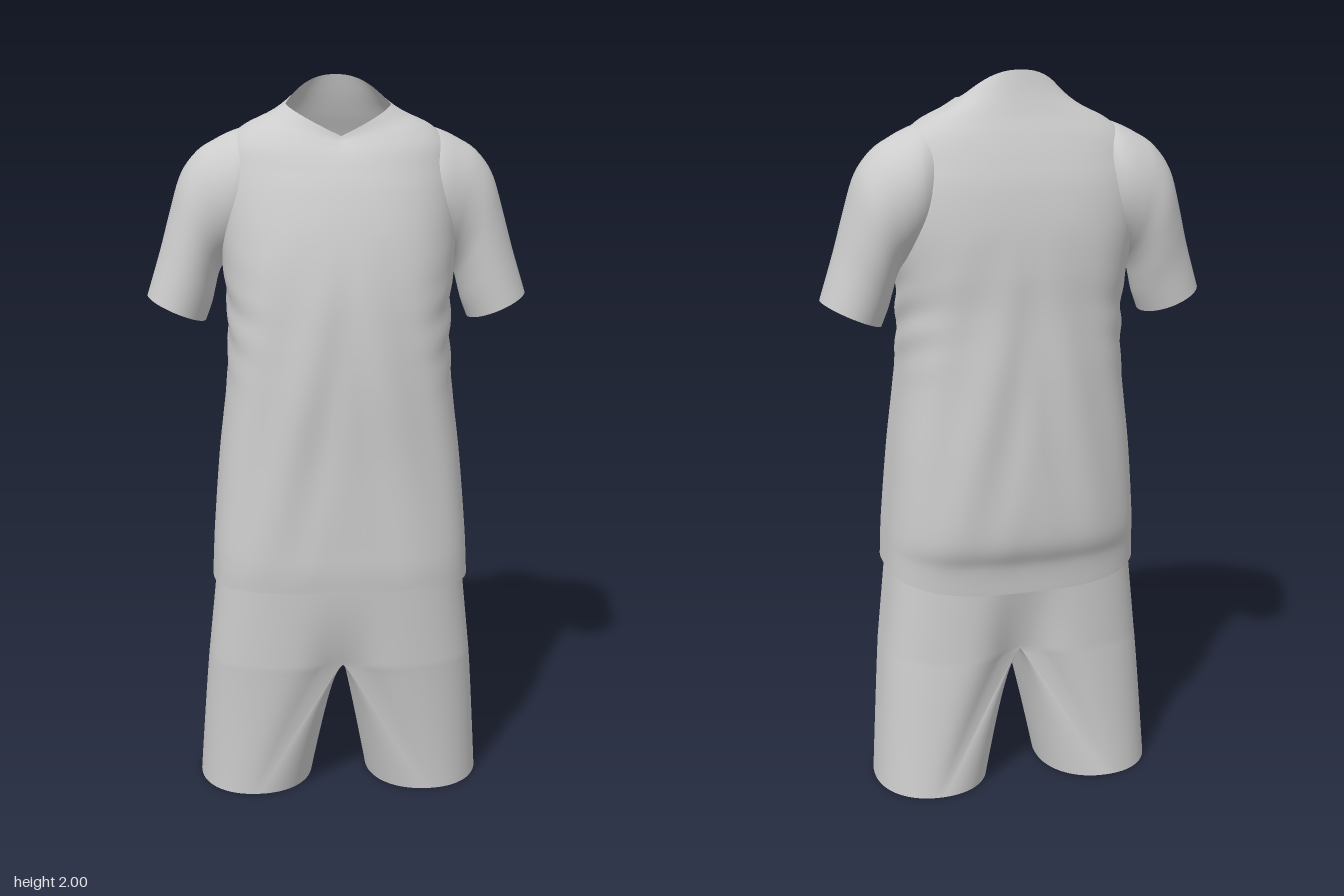
import * as THREE from 'three';
import { mergeGeometries, mergeVertices } from 'three/addons/utils/BufferGeometryUtils.js';

const SEG = 160;
const spow = (v, p) => Math.sign(v) * Math.abs(v) ** p;
const mix = (a, b, t) => a + (b - a) * t;

// Smooth interpolation through a table of section rows, t in 0..1
function sampleRows(rows, t) {
  const f = t * (rows.length - 1);
  const i = Math.min(Math.floor(f), rows.length - 2);
  const u = f - i;
  const row = (k) => rows[Math.max(0, Math.min(rows.length - 1, k))];
  return rows[0].map((_, c) => {
    const [a, b, d, e] = [row(i - 1)[c], row(i)[c], row(i + 1)[c], row(i + 2)[c]];
    return b + 0.5 * u * (d - a + u * (2 * a - 5 * b + 4 * d - e + u * (3 * (b - d) + e - a)));
  });
}

// Open tube of closed rings; point(angle, t) returns [x, y, z]
function loft(point, steps) {
  const pos = [], idx = [];
  for (let i = 0; i <= steps; i++) {
    for (let j = 0; j < SEG; j++) pos.push(...point((j / SEG) * Math.PI * 2, i / steps));
  }
  for (let i = 0; i < steps; i++) {
    for (let j = 0; j < SEG; j++) {
      const k = (j + 1) % SEG;
      const a = i * SEG + j, b = a + SEG, c = i * SEG + k, d = c + SEG;
      idx.push(a, b, c, c, b, d);
    }
  }
  const g = new THREE.BufferGeometry();
  g.setAttribute('position', new THREE.Float32BufferAttribute(pos, 3));
  g.setIndex(idx);
  g.computeVertexNormals();
  return g;
}

// Shirt body: half width, z front, z back, z side, y front, y side, y back,
// roundness of the front and of the back (1 = ellipse, less = boxier)
const BODY = [
  [0.358, 0.245, -0.205, 0.01, 0.64, 0.64, 0.60, 0.6, 0.68],
  [0.355, 0.25, -0.215, 0.01, 0.70, 0.70, 0.68, 0.6, 0.68],
  [0.35, 0.25, -0.245, 0.005, 0.78, 0.78, 0.77, 0.6, 0.72],
  [0.333, 0.25, -0.25, 0, 0.98, 0.98, 0.98, 0.65, 0.74],
  [0.308, 0.255, -0.248, 0, 1.2, 1.2, 1.2, 0.72, 0.75],
  [0.303, 0.248, -0.24, -0.01, 1.38, 1.38, 1.38, 0.76, 0.74],
  [0.314, 0.235, -0.24, -0.03, 1.5, 1.5, 1.5, 0.79, 0.72],
  [0.322, 0.213, -0.235, -0.05, 1.61, 1.6, 1.61, 0.82, 0.7],
  [0.325, 0.182, -0.22, -0.06, 1.71, 1.69, 1.71, 0.84, 0.7],
  [0.318, 0.155, -0.2, -0.062, 1.77, 1.76, 1.78, 0.85, 0.73],
  [0.298, 0.135, -0.178, -0.06, 1.805, 1.826, 1.84, 0.87, 0.78],
  [0.25, 0.117, -0.157, -0.048, 1.827, 1.872, 1.89, 0.9, 0.84],
  [0.185, 0.105, -0.138, -0.03, 1.84, 1.903, 1.945, 0.95, 0.9],
  [0.14, 0.1, -0.123, -0.012, 1.85, 1.927, 2.0, 1, 0.95],
];

function bodyPoint(a, t) {
  const [w, zf, zb, zm, yf, ys, yb, pf, pb] = sampleRows(BODY, t);
  const c = Math.cos(a), s = Math.sin(a);
  const p = s > 0 ? pf : pb;
  const x = w * spow(c, p);
  const y = s > 0 ? mix(ys, yf, (1 - Math.abs(c)) ** 0.85) : mix(ys, yb, 1 - Math.abs(c) ** 2.2);
  const z = mix(zm, s > 0 ? zf : zb, Math.abs(s) ** p);
  // Soft slanting drape folds that fade out at hem and yoke, creases below the armpits
  const mask = Math.sin(Math.PI * Math.max(0, Math.min(1, (y - 0.66) / 0.95)));
  const drape = Math.sin((Math.abs(x) + 0.22 * y) * 38) * 0.005 * mask * Math.abs(s);
  const crease = Math.exp(-(((y - 1.35) / 0.12) ** 2));
  const crumple = Math.sin(y * 60 + z * 22) * 0.004 * crease * c * c;
  return [x + Math.sign(c) * crumple, y, z + Math.sign(s) * drape];
}

// Sleeve with shoulder cap: top x, top y, underside x, underside y, z centre, z half depth
const SLEEVE = [
  [0.19, 1.87, 0.2, 1.58, -0.045, 0.105],
  [0.25, 1.865, 0.25, 1.55, -0.052, 0.138],
  [0.285, 1.855, 0.275, 1.535, -0.056, 0.146],
  [0.33, 1.833, 0.297, 1.517, -0.061, 0.142],
  [0.378, 1.802, 0.313, 1.498, -0.065, 0.133],
  [0.423, 1.742, 0.326, 1.47, -0.067, 0.126],
  [0.454, 1.645, 0.336, 1.43, -0.063, 0.119],
  [0.483, 1.54, 0.346, 1.39, -0.057, 0.112],
  [0.522, 1.415, 0.363, 1.345, -0.053, 0.107],
];

function sleevePoint(side) {
  return (a, t) => {
    const [tx, ty, ux, uy, zc, zh] = sampleRows(SLEEVE, t);
    const k = (1 + Math.cos(a)) / 2;
    return [side * mix(ux, tx, k), mix(uy, ty, k), zc - side * zh * Math.sin(a)];
  };
}

// Shorts: hip outline at a height, with a cleft towards the crotch, deeper at the back
const CROTCH = 0.4;
function hipPoint(a, y) {
  const c = Math.cos(a), s = Math.sin(a);
  const h = (y - CROTCH) / (0.66 - CROTCH);
  const x = mix(0.373, 0.345, h) * spow(c, 0.66);
  const depth = s > 0 ? 0.2 * (1 - h) ** 2 : 0.32 * (1 - h);
  const cleft = 1 - depth * Math.exp(-((x / 0.085) ** 2));
  const z = 0.015 + (s > 0 ? mix(0.2, 0.216, h) : 0.215) * spow(s, 0.66) * cleft;
  return [x, y, z];
}

// Leg: flat-sided at the crotch, opening to an oval hem
function legPoint(side) {
  return (a, t) => {
    const y = CROTCH * t;
    const open = (1 - t) ** 0.9;
    const c = Math.cos(a), s = Math.sin(a);
    const [hx, , hz] = hipPoint(a, CROTCH);
    const seamZ = hipPoint(Math.sign(s) * Math.PI / 2, CROTCH)[2];
    const top = c > 1e-9 ? [hx, hz] : [0, mix(0.015, seamZ, Math.abs(s) ** 0.66)];
    const hem = [0.243 + 0.163 * spow(c, 0.92), -0.02 + 0.182 * spow(s, 0.92)];
    return [side * mix(top[0], hem[0], open), y, mix(top[1], hem[1], open)];
  };
}

// Reverses triangle order, for mirrored lofts
function flip(g) {
  const i = g.index.array;
  for (let k = 0; k < i.length; k += 3) [i[k], i[k + 1]] = [i[k + 1], i[k]];
  return g;
}

export function createModel() {
  const model = new THREE.Group();
  model.name = 'sportsOutfit';
  const fabric = new THREE.MeshStandardMaterial({ color: 0xcccccc, side: THREE.DoubleSide });
  fabric.name = 'light grey fabric';
  const add = (name, geometry) => {
    const mesh = new THREE.Mesh(geometry, fabric);
    mesh.name = name;
    model.add(mesh);
  };

  // Shirt
  add('shirtBody', loft(bodyPoint, 104));
  add('leftSleeve', loft(sleevePoint(1), 42));
  add('rightSleeve', loft(sleevePoint(-1), 42));

  // Shorts: hips and two legs welded into one smooth skin
  const parts = [
    loft((a, t) => hipPoint(a, mix(CROTCH, 0.66, t)), 24),
    loft(legPoint(1), 36),
    flip(loft(legPoint(-1), 36)),
  ];
  parts.forEach((g) => g.deleteAttribute('normal'));
  const shorts = mergeVertices(mergeGeometries(parts), 1e-4);
  shorts.computeVertexNormals();
  add('shorts', shorts);
  return model;
}
